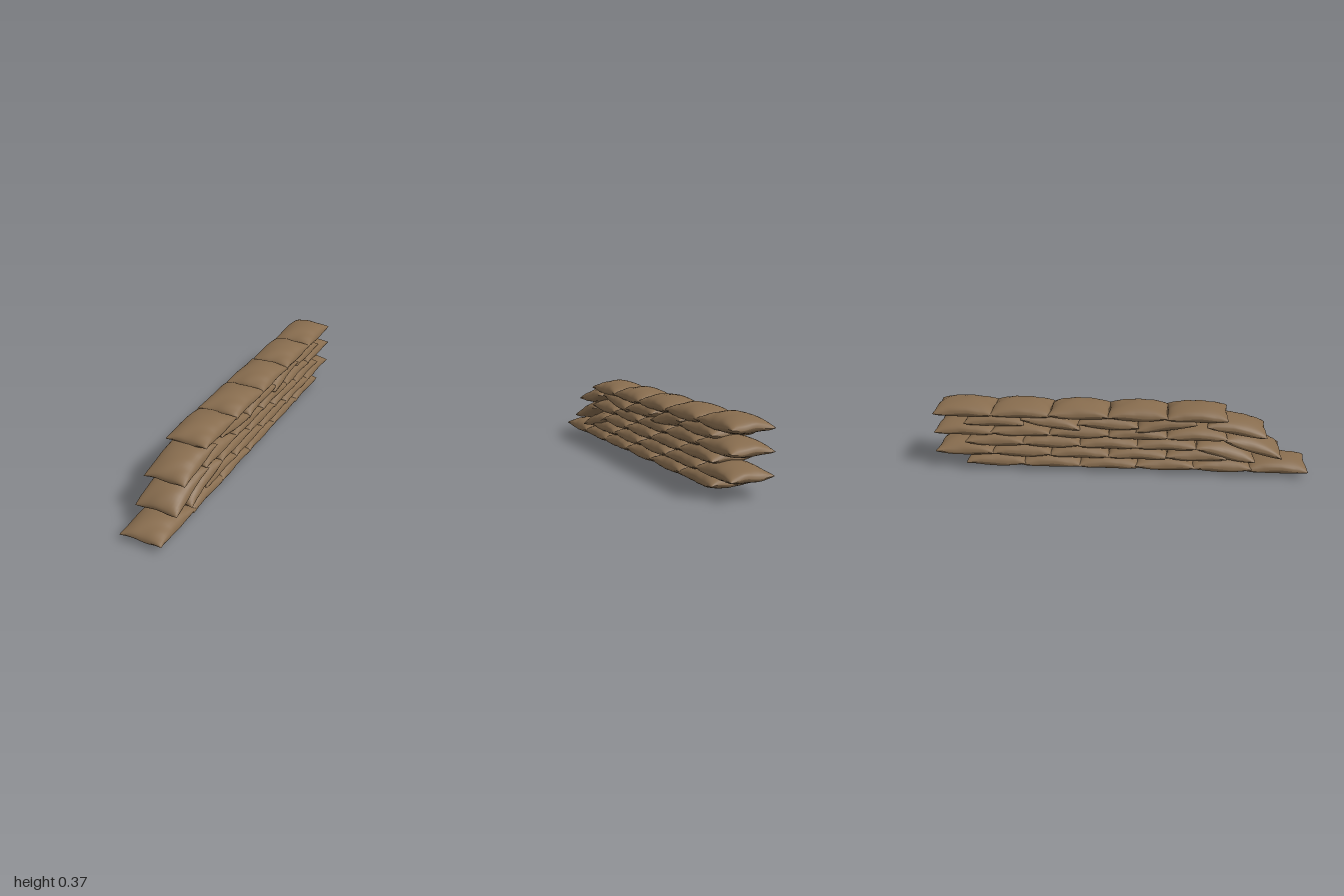
import * as THREE from 'three';

const burlap = new THREE.MeshStandardMaterial({ color: 0x876c4e });
burlap.name = 'brown burlap';

const HALF_WIDTH = 0.113, HALF_LENGTH = 0.162, UP = 0.054, DOWN = 0.037;

// A stuffed bag: two bulging sheets that meet at a thin, slightly wavy seam with flared corners
function bagGeometry(seed) {
  const nu = 18, nv = 22, positions = [], index = [];
  for (const side of [1, -1]) {
    const base = positions.length / 3;
    for (let j = 0; j <= nv; j++) {
      for (let i = 0; i <= nu; i++) {
        const u = Math.sin((i / nu - 0.5) * Math.PI);
        const v = Math.sin((j / nv - 0.5) * Math.PI);
        const edge = Math.max(Math.abs(u), Math.abs(v)) ** 6;
        const bulge = Math.pow(Math.max(0, (1 - u * u) * (1 - v * v)), 0.45);
        const seam = 0.004 * edge * Math.sin(5 * u + 4 * v + seed * 2.1);
        const fold = 0.002 * bulge * Math.sin(9 * u * v + 6 * v + seed * 1.7);
        const ripple = 1 + 0.012 * edge * Math.sin(11 * v + 9 * u + seed);
        positions.push(
          HALF_WIDTH * u * (1 - 0.05 * (1 - v * v)) * Math.min(1, ripple),
          seam + side * ((side > 0 ? UP : DOWN) * bulge + fold),
          HALF_LENGTH * v * (1 - 0.05 * (1 - u * u))
        );
      }
    }
    for (let j = 0; j < nv; j++) {
      for (let i = 0; i < nu; i++) {
        const a = base + j * (nu + 1) + i, b = a + 1, c = a + nu + 1, d = c + 1;
        if (side > 0) index.push(a, c, b, b, c, d);
        else index.push(a, b, c, b, d, c);
      }
    }
  }
  const g = new THREE.BufferGeometry();
  g.setAttribute('position', new THREE.Float32BufferAttribute(positions, 3));
  g.setIndex(index);
  g.computeVertexNormals();
  return g;
}

export function createModel() {
  const wall = new THREE.Group();
  wall.name = 'sandbagWall';
  const shapes = [0, 1, 2, 3].map(bagGeometry);

  // Staggered courses: seam height and the bag centres along the wall
  const even = [0.41, 0.1, -0.21, -0.52, -0.825];
  const odd = [0.25, -0.055, -0.36, -0.66];
  const courses = [
    { y: 0.039, z: [0.838, 0.545, ...odd] },
    { y: 0.097, z: even },
    { y: 0.155, z: odd },
    { y: 0.213, z: even },
    { y: 0.268, z: odd, tilts: [-0.15, 0.05, 0.15, 0] },
    { y: 0.318, z: even }
  ];

  let count = 0;
  const addBag = (parent, y, z, tilt, name) => {
    const bag = new THREE.Mesh(shapes[count % shapes.length], burlap);
    bag.name = name;
    bag.position.set(0, y, z);
    bag.rotation.x = tilt;
    // Turn alternate bags around so neighbouring seams differ
    if (count % 3 === 1) bag.scale.set(1, 1, 0.99);
    parent.add(bag);
    count++;
  };

  courses.forEach((course, row) => {
    const group = new THREE.Group();
    group.name = `course${row + 1}`;
    course.z.forEach((z, i) => addBag(group, course.y, z, course.tilts ? course.tilts[i] : 0, 'sandbag'));
    wall.add(group);
  });

  // Slumped bags on the stepped front end: height, position along the wall, tilt
  const slumped = new THREE.Group();
  slumped.name = 'slumpedFrontBags';
  for (const [y, z, tilt] of [[0.118, 0.563, 0.23], [0.157, 0.703, 0.29], [0.254, 0.618, 0.17]]) {
    addBag(slumped, y, z, tilt, 'slumpedSandbag');
  }
  wall.add(slumped);
  return wall;
}
